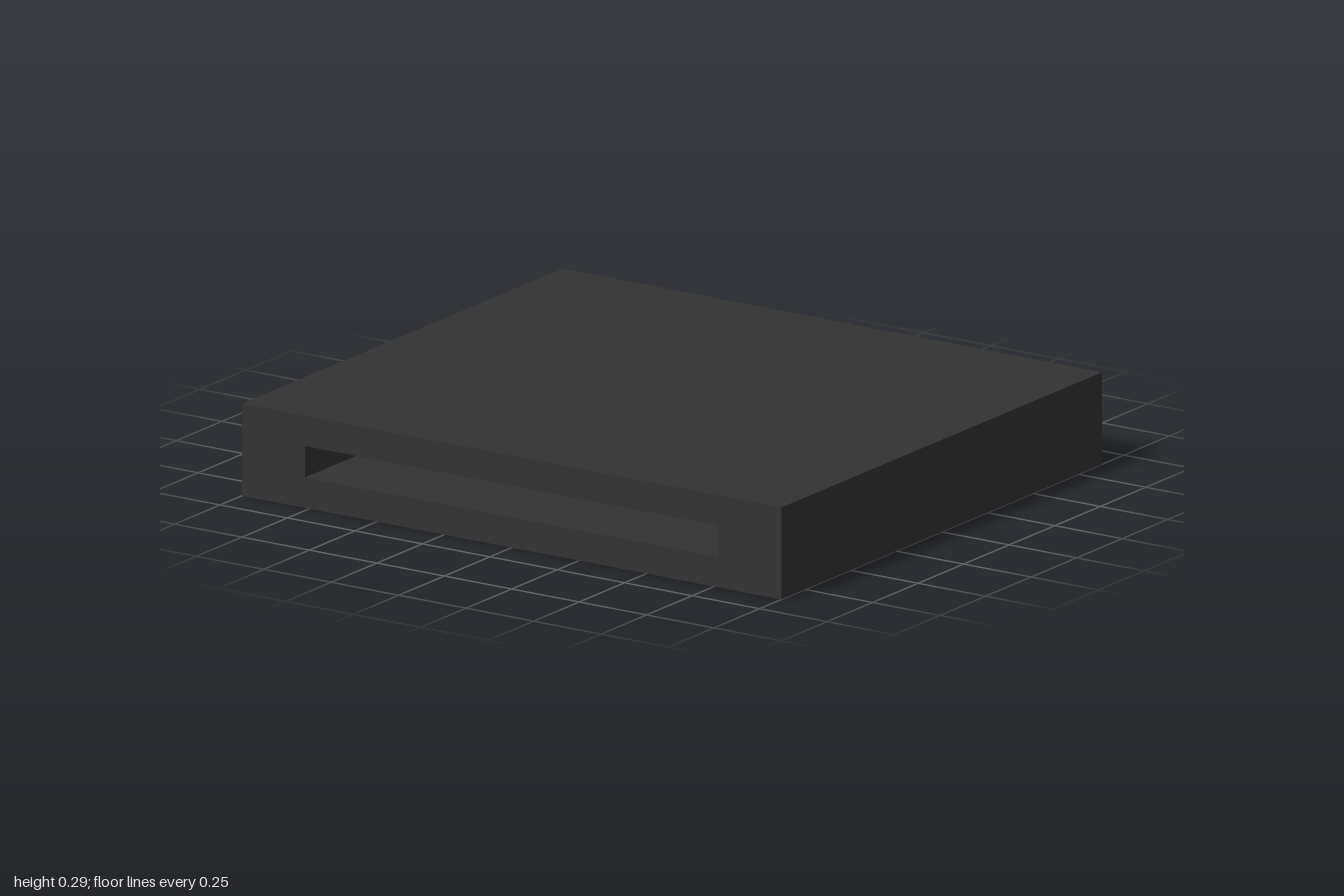
import * as THREE from 'three';

const WIDTH = 2, HEIGHT = 0.295, DEPTH = 1.76;
const SLOT = { halfWidth: 0.767, bottom: 0.097, top: 0.198 };

// Adds a closed rectangle to a shape or path
function rect(path, x0, y0, x1, y1) {
  path.moveTo(x0, y0);
  path.lineTo(x1, y0);
  path.lineTo(x1, y1);
  path.lineTo(x0, y1);
  path.closePath();
  return path;
}

export function createModel() {
  const group = new THREE.Group();
  group.name = 'slottedBlock';

  // Flat block with a slot running through from front to back
  const profile = rect(new THREE.Shape(), -WIDTH / 2, 0, WIDTH / 2, HEIGHT);
  profile.holes.push(rect(new THREE.Path(), -SLOT.halfWidth, SLOT.bottom, SLOT.halfWidth, SLOT.top));

  const geometry = new THREE.ExtrudeGeometry(profile, { depth: DEPTH, bevelEnabled: false });
  geometry.translate(0, 0, -DEPTH / 2);

  const body = new THREE.Mesh(geometry, new THREE.MeshStandardMaterial({ color: 0x333333 }));
  body.name = 'slottedBody';
  group.add(body);

  return group;
}
